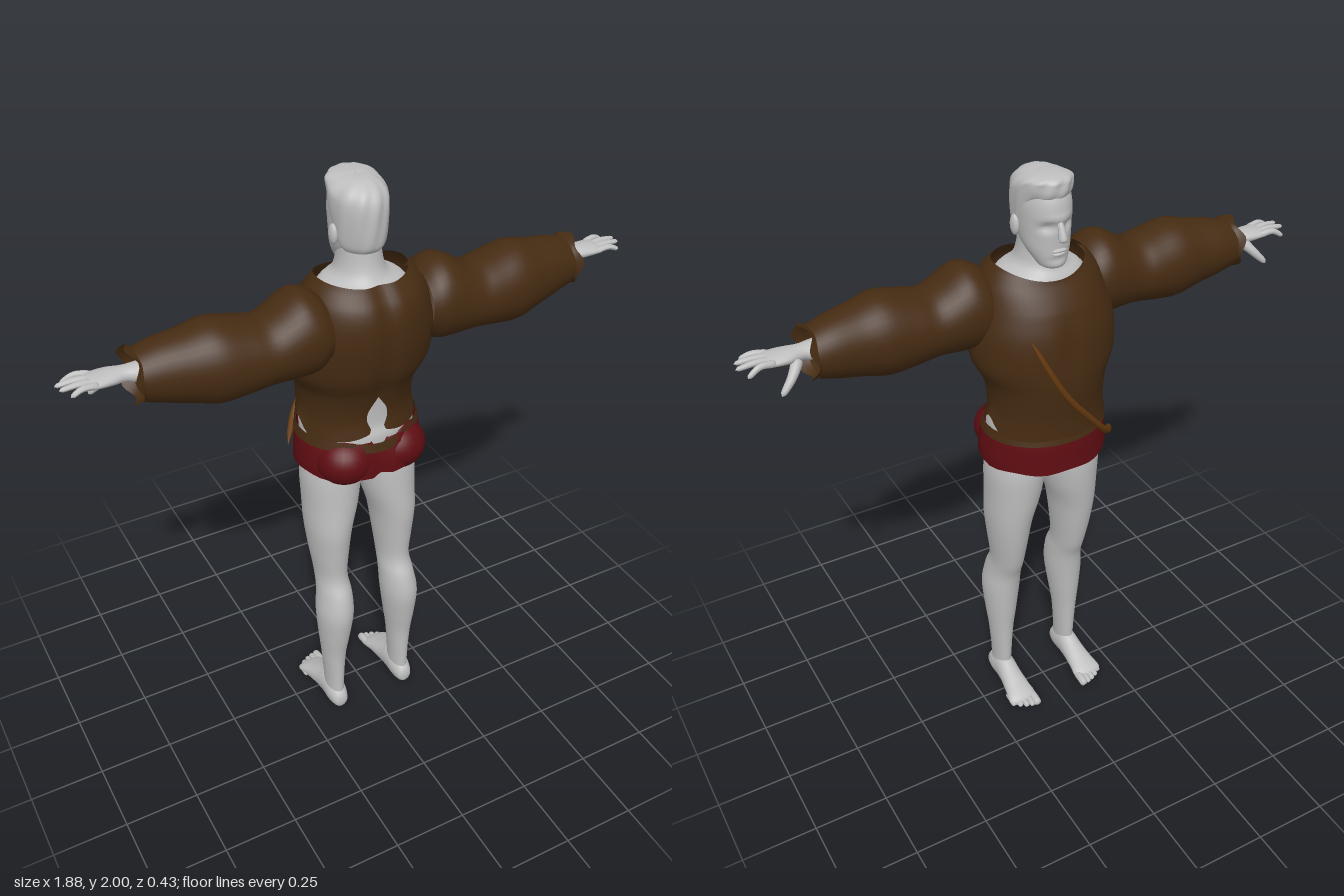
import * as THREE from 'three';

const mat = (name, color, double) => {
  const m = new THREE.MeshStandardMaterial({ color });
  m.name = name;
  if (double) m.side = THREE.DoubleSide;
  return m;
};

// Lofts ellipses along an axis. Row: [t, centreA, centreB, radiusA, radiusB].
// Axis y: A = x, B = z. Axis x: A = y, B = z. Axis z: A = x, B = y.
function loft(axis, rows, { side = 1, seg = 36, sub = 5, deform } = {}) {
  const pos = [], index = [], v = new THREE.Vector3();
  const n = (rows.length - 1) * sub;
  const cr = (a, b, c, d, u) => 0.5 * (2 * b + (c - a) * u + (2 * a - 5 * b + 4 * c - d) * u * u + (3 * b - a - 3 * c + d) * u ** 3);
  const row = (i) => rows[Math.max(0, Math.min(rows.length - 1, i))];
  for (let i = 0; i <= n; i++) {
    const k = Math.min(Math.floor(i / sub), rows.length - 2), u = i / sub - k;
    const [t, ca, cb, ra, rb] = rows[0].map((_, j) => cr(row(k - 1)[j], row(k)[j], row(k + 1)[j], row(k + 2)[j], u));
    for (let j = 0; j < seg; j++) {
      const th = (j / seg) * Math.PI * 2;
      const a = ca + Math.max(ra, 0.0005) * Math.cos(th), b = cb + Math.max(rb, 0.0005) * Math.sin(th);
      if (axis === 'y') v.set(a, t, b);
      else if (axis === 'x') v.set(t, a, b);
      else v.set(a, b, t);
      if (deform) deform(v, th, i / n);
      pos.push(v.x * side, v.y, v.z);
      if (i < n) {
        const p = i * seg + j, q = i * seg + ((j + 1) % seg);
        index.push(p, q, p + seg, q, q + seg, p + seg);
      }
    }
  }
  const g = new THREE.BufferGeometry();
  g.setAttribute('position', new THREE.Float32BufferAttribute(pos, 3));
  // Turn the faces outwards, judged by the signed volume about the centre
  g.computeBoundingBox();
  const c = g.boundingBox.getCenter(new THREE.Vector3());
  const P = (i) => new THREE.Vector3().fromArray(pos, i * 3).sub(c);
  let vol = 0;
  for (let i = 0; i < index.length; i += 3) vol += P(index[i]).dot(P(index[i + 1]).cross(P(index[i + 2])));
  if (vol < 0) index.reverse();
  g.setIndex(index);
  g.computeVertexNormals();
  return g;
}

// Round tapered tube with closed, rounded ends
function taper(points, r0, r1, side = 1) {
  const curve = new THREE.CatmullRomCurve3(points.map(([x, y, z]) => new THREE.Vector3(x * side, y, z)));
  const n = 14, g = new THREE.TubeGeometry(curve, n, 1, 10), p = g.attributes.position, v = new THREE.Vector3();
  for (let i = 0; i <= n; i++) {
    const t = i / n, c = curve.getPointAt(t);
    const r = (r0 + (r1 - r0) * t) * Math.sqrt(Math.max(0.001, 1 - Math.abs(2 * t - 1) ** 8));
    for (let j = 0; j <= 10; j++) {
      const k = i * 11 + j;
      v.fromBufferAttribute(p, k).sub(c).multiplyScalar(r).add(c);
      p.setXYZ(k, v.x, v.y, v.z);
    }
  }
  g.computeVertexNormals();
  return g;
}

const ball = (x, y, z, rx, ry, rz) => new THREE.SphereGeometry(1, 24, 16).scale(rx, ry, rz).translate(x, y, z);
const bump = (d, w) => Math.exp(-((d / w) ** 2));

export function createModel() {
  const model = new THREE.Group();
  const skin = mat('skin grey', 0xbebebe), cloth = mat('brown cloth', 0x452b12, true);
  const red = mat('dark red cloth', 0x5e0d12, true), leather = mat('strap leather', 0x63380f);
  const add = (name, geometry, material) => {
    const m = new THREE.Mesh(geometry, material);
    m.name = name;
    model.add(m);
  };

  // Body under the clothes, up to the neck
  add('bodyAndNeck', loft('y', [
    [0.98, 0, 0.01, 0.06, 0.05], [1.06, 0, 0.01, 0.18, 0.13], [1.17, 0, 0, 0.19, 0.155], [1.23, 0, -0.01, 0.182, 0.152],
    [1.35, 0, 0, 0.18, 0.15], [1.5, 0, 0.02, 0.2, 0.16], [1.62, 0, 0.03, 0.17, 0.14], [1.68, 0, 0.03, 0.135, 0.115],
    [1.71, 0, 0.025, 0.085, 0.092], [1.75, 0, 0.02, 0.068, 0.08], [1.82, 0, 0.015, 0.062, 0.075]]), skin);

  // Head, facing -z, with eye sockets, brow and cheeks
  add('head', loft('y', [
    [1.715, 0, -0.045, 0, 0], [1.722, 0, -0.048, 0.035, 0.04], [1.745, 0, -0.038, 0.052, 0.06], [1.78, 0, -0.016, 0.068, 0.082],
    [1.82, 0, 0, 0.075, 0.1], [1.86, 0, 0.002, 0.078, 0.105], [1.91, 0, 0.004, 0.079, 0.106], [1.95, 0, 0.005, 0.07, 0.092],
    [1.975, 0, 0.005, 0.045, 0.06], [1.985, 0, 0.005, 0, 0]], {
    deform: (v) => {
      if (v.z > -0.04) return;
      v.z += 0.016 * bump(Math.abs(v.x) - 0.034, 0.018) * bump(v.y - 1.853, 0.014);
      v.z -= 0.006 * bump(v.y - 1.88, 0.01) * bump(v.x, 0.05);
      v.z += 0.006 * bump(v.y - 1.752, 0.01) * bump(v.x, 0.03);
    } }), skin);
  add('nose', taper([[0, 1.872, -0.098], [0, 1.84, -0.112], [0, 1.812, -0.121]], 0.008, 0.014), skin);
  add('upperLip', ball(0, 1.781, -0.098, 0.024, 0.006, 0.008), skin);
  add('lowerLip', ball(0, 1.769, -0.094, 0.02, 0.007, 0.009), skin);

  // Swept hair: low at the nape, high over the brow
  add('hair', loft('y', [
    [1.79, 0, 0.02, 0.066, 0.08], [1.81, 0, 0.012, 0.077, 0.1], [1.86, 0, 0.01, 0.083, 0.108], [1.92, 0, 0.01, 0.086, 0.108],
    [1.955, 0, 0.006, 0.083, 0.102], [1.98, 0, 0, 0.066, 0.085], [1.995, 0, 0, 0.035, 0.05], [1.997, 0, 0, 0, 0]], {
    seg: 64,
    deform: (v, th, t) => {
      const front = 0.5 - 0.5 * Math.sin(th);
      const line = 1.79 + 0.135 * THREE.MathUtils.smoothstep(front, 0.3, 0.85);
      const wave = 1 + 0.022 * Math.sin(11 * th + 9 * t) * Math.sin(Math.PI * t);
      v.y = line + (v.y - 1.79) / 0.21 * (2 - line);
      v.x *= wave;
      v.z *= wave;
    } }), skin);

  // Jerkin with spine groove, dipped collar, and a hem that lifts at the sides and back
  add('jerkin', loft('y', [
    [1.18, 0, -0.01, 0.2, 0.165], [1.25, 0, -0.015, 0.19, 0.16], [1.34, 0, -0.01, 0.197, 0.175], [1.42, 0, 0.006, 0.233, 0.192],
    [1.52, 0, 0.02, 0.235, 0.197], [1.6, 0, 0.033, 0.215, 0.184], [1.66, 0, 0.038, 0.195, 0.163], [1.7, 0, 0.035, 0.168, 0.138],
    [1.72, 0, 0.03, 0.145, 0.125]], {
    seg: 64,
    deform: (v, th) => {
      const s = Math.sin(th), low = Math.max(0, (1.3 - v.y) / 0.12), high = Math.max(0, (v.y - 1.6) / 0.12);
      v.y += low * (0.055 * bump(s + 0.02, 0.22) + (s > 0 ? 0.022 * bump(v.x, 0.07) : 0));
      v.y -= high * (s < 0 ? 0.035 * s * s : 0.012 * s * s);
      if (s > 0) v.z -= 0.014 * bump(v.x, 0.03);
      else v.z += 0.008 * bump(v.x, 0.03) * bump(v.y - 1.5, 0.08);
    } }), cloth);
  add('waistband', loft('y', [[1.16, 0, 0, 0.208, 0.176], [1.19, 0, 0, 0.199, 0.168]], { deform: (v) => { v.y -= v.z > 0 ? 0.02 * bump(v.x, 0.1) : 0; } }), cloth);

  // Short red breeches
  add('breeches', loft('y', [
    [1.055, 0, 0.008, 0.213, 0.187], [1.09, 0, 0.008, 0.213, 0.184], [1.14, 0, 0.004, 0.206, 0.177], [1.175, 0, 0, 0.198, 0.168]], {
    deform: (v, th) => { v.y += 0.004 * Math.sin(7 * th); if (v.z > 0) v.z -= 0.03 * bump(v.x, 0.03); } }), red);

  // Strap across the chest to the right hip
  add('chestStrap', taper([[0.13, 1.55, -0.155], [0.09, 1.46, -0.183], [0.03, 1.35, -0.202], [-0.06, 1.24, -0.196],
    [-0.14, 1.15, -0.16], [-0.215, 1.09, -0.06]], 0.009, 0.012), leather);

  for (const side of [1, -1]) {
    const tag = side > 0 ? 'left' : 'right';
    add(tag + 'Ear', ball(side * 0.083, 1.835, 0.018, 0.012, 0.032, 0.02), skin);
    add(tag + 'Buttock', ball(side * 0.094, 1.1, 0.1, 0.095, 0.083, 0.092), red);

    // Padded sleeve and its ragged cuff
    add(tag + 'Sleeve', loft('x', [
      [0.165, 1.59, 0.075, 0.1, 0.11], [0.2, 1.588, 0.075, 0.128, 0.126], [0.25, 1.587, 0.075, 0.135, 0.127], [0.34, 1.565, 0.077, 0.108, 0.118],
      [0.41, 1.565, 0.075, 0.116, 0.121], [0.5, 1.57, 0.073, 0.13, 0.121], [0.58, 1.572, 0.068, 0.112, 0.105],
      [0.66, 1.575, 0.06, 0.095, 0.092], [0.72, 1.575, 0.056, 0.077, 0.08]], { side }), cloth);
    add(tag + 'Cuff', loft('x', [[0.71, 1.577, 0.056, 0.073, 0.076], [0.735, 1.58, 0.056, 0.084, 0.086]], {
      side, deform: (v, th, t) => { v.x += t * 0.011 * Math.sin(5 * th + 1); } }), cloth);

    // Forearm, palm and fingers
    add(tag + 'Hand', loft('x', [
      [0.5, 1.58, 0.065, 0.045, 0.045], [0.7, 1.583, 0.056, 0.03, 0.035], [0.75, 1.587, 0.052, 0.023, 0.029], [0.79, 1.589, 0.05, 0.021, 0.04],
      [0.83, 1.59, 0.051, 0.017, 0.044], [0.855, 1.59, 0.052, 0.012, 0.04], [0.862, 1.59, 0.052, 0, 0]], { side, seg: 20 }), skin);
    [[0.92, 0.003, 1.575], [0.942, 0.036, 1.592], [0.937, 0.066, 1.594], [0.915, 0.098, 1.585]].forEach(([x, z, y], i) => {
      const z0 = 0.018 + i * 0.022;
      add(tag + 'Finger', taper([[0.83, 1.59, z0], [0.88, 1.597, (z0 + z) / 2], [x, y, z]], 0.0115, 0.0075, side), skin);
    });
    add(tag + 'Thumb', taper([[0.765, 1.583, 0.03], [0.8, 1.545, -0.003], [0.84, 1.505, -0.02]], 0.019, 0.009, side), skin);

    // Leg with thigh, knee and calf
    add(tag + 'Leg', loft('y', [
      [0.04, 0.133, 0.082, 0.03, 0.05], [0.12, 0.132, 0.078, 0.031, 0.052], [0.25, 0.132, 0.077, 0.041, 0.057], [0.35, 0.13, 0.08, 0.053, 0.07],
      [0.45, 0.127, 0.081, 0.062, 0.081], [0.53, 0.122, 0.068, 0.057, 0.08], [0.6, 0.121, 0.04, 0.053, 0.078], [0.7, 0.122, 0.03, 0.064, 0.092],
      [0.8, 0.12, 0.025, 0.076, 0.105], [0.9, 0.107, 0.016, 0.091, 0.11], [1, 0.101, 0.01, 0.099, 0.11], [1.08, 0.1, 0.01, 0.09, 0.1]], { side }), skin);

    // Foot and toes
    add(tag + 'Foot', loft('z', [
      [0.146, 0.133, 0.04, 0, 0], [0.138, 0.133, 0.042, 0.024, 0.03], [0.1, 0.133, 0.052, 0.036, 0.05], [0.05, 0.133, 0.058, 0.037, 0.056],
      [0, 0.134, 0.047, 0.04, 0.043], [-0.05, 0.136, 0.035, 0.046, 0.031], [-0.1, 0.138, 0.022, 0.05, 0.019], [-0.118, 0.138, 0.02, 0, 0]], {
      side, seg: 24, deform: (v) => { v.y = Math.max(v.y, 0); } }), skin);
    for (let i = 0; i < 5; i++) {
      const x = 0.099 + i * 0.0195, r = i ? 0.0105 : 0.0145, tip = -0.145 + i * i * 0.0022;
      add(tag + 'Toe', taper([[x, 0.023, tip + 0.06], [x, 0.022, tip + 0.03], [x, 0.016, tip]], r, r, side), skin);
    }
  }
  return model;
}
